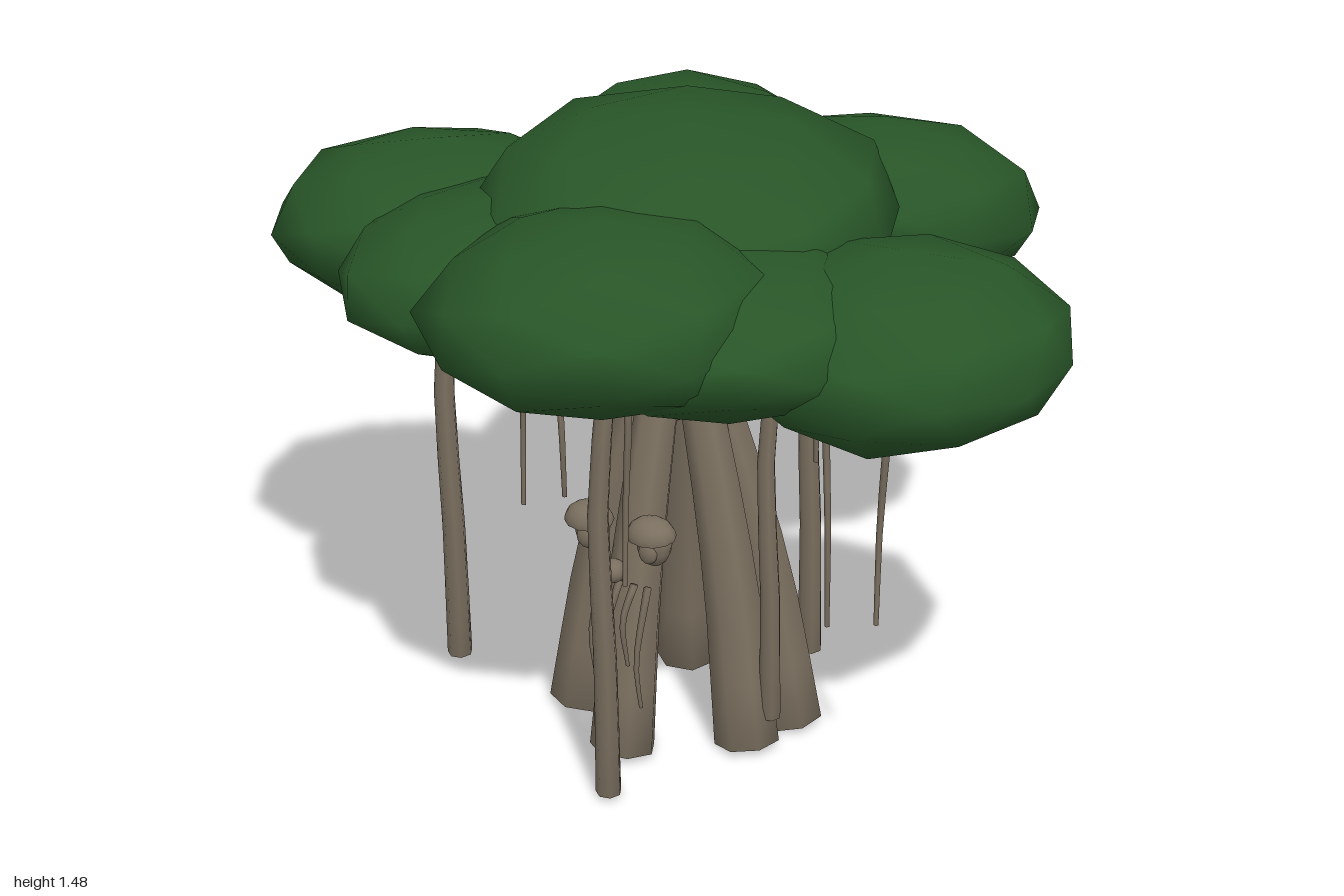
import * as THREE from 'three';
import { mergeVertices, mergeGeometries } from 'three/addons/utils/BufferGeometryUtils.js';

const bark = new THREE.MeshStandardMaterial({ color: 0x7a6f5f });
bark.name = 'bark brown';
const leaf = new THREE.MeshStandardMaterial({ color: 0x285528 });
leaf.name = 'leaf green';

function add(parent, name, geometry, material) {
  const mesh = new THREE.Mesh(geometry, material);
  mesh.name = name;
  parent.add(mesh);
  return mesh;
}

// Tapered, capped limb along a smooth path, radius r0 at the start and r1 at the end
function limb(points, r0, r1, sides = 7, steps = 6) {
  const curve = new THREE.CatmullRomCurve3(points.map((p) => new THREE.Vector3(...p)));
  const tube = new THREE.TubeGeometry(curve, steps, 1, sides, false);
  const pos = tube.attributes.position;
  const v = new THREE.Vector3();
  const caps = [];
  for (let i = 0; i <= steps; i++) {
    const c = curve.getPointAt(i / steps);
    const r = r0 + (r1 - r0) * (i / steps);
    for (let j = 0; j <= sides; j++) {
      const k = i * (sides + 1) + j;
      v.fromBufferAttribute(pos, k).sub(c).multiplyScalar(r).add(c);
      pos.setXYZ(k, v.x, v.y, v.z);
    }
    if (i > 0 && i < steps) continue;
    for (let j = 0; j < sides; j++) {
      const k = i * (sides + 1) + j;
      const [a, b] = i === 0 ? [k, k + 1] : [k + 1, k];
      caps.push(c.x, c.y, c.z);
      for (const n of [a, b]) caps.push(pos.getX(n), pos.getY(n), pos.getZ(n));
    }
  }
  const side = tube.toNonIndexed();
  side.deleteAttribute('uv');
  side.deleteAttribute('normal');
  const ends = new THREE.BufferGeometry();
  ends.setAttribute('position', new THREE.Float32BufferAttribute(caps, 3));
  const whole = mergeVertices(mergeGeometries([side, ends]), 1e-5);
  whole.computeVertexNormals();
  return whole;
}

// Lumpy, smooth-shaded, flattened leaf clump
function clump(seed, size) {
  let g = new THREE.IcosahedronGeometry(1, 1);
  g.deleteAttribute('uv');
  g.deleteAttribute('normal');
  g = mergeVertices(g, 1e-3);
  const pos = g.attributes.position;
  for (let i = 0; i < pos.count; i++) {
    const h = Math.sin(i * 12.9898 + seed * 78.233) * 43758.5453;
    const s = 0.96 + 0.1 * (h - Math.floor(h));
    pos.setXYZ(i, pos.getX(i) * s * size[0], pos.getY(i) * s * size[1], pos.getZ(i) * s * size[2]);
  }
  g.computeVertexNormals();
  return g;
}

export function createModel() {
  const tree = new THREE.Group();
  tree.name = 'tree';

  // Canopy: centre, half size and rotation of each clump
  const canopy = new THREE.Group();
  canopy.name = 'canopy';
  tree.add(canopy);
  [
    [[0.02, 1.285, 0.015], [0.48, 0.195, 0.5], [0.05, 0, -0.07]],
    [[0.1, 1.22, 0.5], [0.385, 0.2, 0.39], [0, 0, 0]],
    [[-0.61, 1.15, 0.075], [0.395, 0.19, 0.375], [0, 0.3, 0]],
    [[0.625, 1.125, 0.135], [0.385, 0.2, 0.385], [0, -0.35, 0]],
    [[-0.28, 1.175, 0.33], [0.36, 0.165, 0.36], [0, 0, 0]],
    [[0.31, 1.175, 0.34], [0.37, 0.165, 0.36], [0, 0, 0]],
    [[-0.26, 1.17, -0.48], [0.37, 0.19, 0.37], [0, 0, 0]],
    [[0.215, 1.15, -0.54], [0.385, 0.2, 0.365], [-0.1, 0, 0]],
  ].forEach(([center, size, turn], i) => {
    const mesh = add(canopy, 'leafClump', clump(i + 1, size), leaf);
    mesh.position.set(...center);
    mesh.rotation.set(...turn);
  });

  // Trunk: roots leaning in from their feet (x, z) towards the crown
  const trunk = new THREE.Group();
  trunk.name = 'trunk';
  tree.add(trunk);
  [
    [0.01, 0.285], [-0.2, 0.13], [-0.262, -0.035], [-0.09, -0.185],
    [0.15, -0.15], [0.28, -0.035], [0.245, 0.11],
  ].forEach(([x, z]) => {
    const at = (f, y) => [0.01 + (x - 0.01) * f, y, 0.035 + (z - 0.035) * f];
    add(trunk, 'trunkRoot',
      limb([at(1, 0.015), at(0.75, 0.42), at(0.34, 0.83), at(0.18, 0.95)], 0.078, 0.046), bark);
  });

  // Branches reaching up into the canopy
  [
    [0.57, 1.0, 0.18], [-0.5, 1.0, 0.07], [-0.13, 1.0, -0.46],
    [0.16, 1.07, -0.4], [0.1, 1.12, 0.36],
  ].forEach(([x, y, z]) => {
    add(tree, 'branch', limb([
      [0.01, 0.83, 0.03],
      [x * 0.45, 0.83 + (y - 0.83) * 0.62, z * 0.45],
      [x, y, z],
    ], 0.075, 0.025), bark);
  });

  // Prop roots: x, z and height of the foot, foot radius, top radius
  [
    [-0.575, 0.1, 0.015, 0.031, 0.022], [0.088, 0.475, 0.015, 0.03, 0.021],
    [0.16, -0.355, 0.015, 0.03, 0.021], [0.3, 0.1, 0.09, 0.026, 0.018],
    [-0.26, -0.175, 0.34, 0.011, 0.022],
  ].forEach(([x, z, y, r0, r1]) => {
    add(tree, 'propRoot', limb([
      [x, y, z], [x + 0.008, 0.4 + y * 0.6, z + 0.022],
      [x - 0.006, 0.72 + y * 0.2, z + 0.022], [x + 0.01, 1.08, z],
    ], r0, r1), bark);
  });

  // Thin hanging vines: x, z and height of the free end
  [
    [0.6, 0.16, 0.44], [0.44, 0.09, 0.36], [-0.41, 0.05, 0.44], [-0.26, -0.46, 0.33],
    [0.12, -0.49, 0.58], [0.24, -0.22, 0.6], [0.06, 0.35, 0.48], [-0.15, 0.27, 0.62],
  ].forEach(([x, z, y], i) => {
    const s = i % 2 ? 0.015 : -0.015;
    add(tree, 'vine', limb([
      [x, y, z], [x + s * 0.3, y + (1.08 - y) * 0.4, z + s],
      [x - s, y + (1.08 - y) * 0.7, z - s * 0.3], [x + s * 0.5, 1.08, z + s],
    ], 0.006, 0.011, 5), bark);
  });

  // Face: lidded eyes, nose and a beard of rootlets
  const face = new THREE.Group();
  face.name = 'face';
  tree.add(face);
  const ball = new THREE.SphereGeometry(1, 12, 8);
  const dome = mergeGeometries([
    new THREE.SphereGeometry(1, 12, 5, 0, Math.PI * 2, 0, Math.PI / 2),
    new THREE.CircleGeometry(1, 12).rotateX(Math.PI / 2),
  ]);
  for (const x of [-0.075, 0.09]) {
    const eye = add(face, 'eye', ball, bark);
    eye.position.set(x, 0.565, 0.272);
    eye.scale.set(0.043, 0.058, 0.036);
    const pupil = add(face, 'pupil', ball, bark);
    pupil.position.set(x, 0.55, 0.3);
    pupil.scale.set(0.024, 0.028, 0.014);
    const lid = add(face, 'eyelid', dome, bark);
    lid.position.set(x, 0.587, 0.285);
    lid.scale.set(0.06, 0.045, 0.05);
    lid.rotation.x = 0.15;
  }
  const nose = add(face, 'nose', ball, bark);
  nose.position.set(0.01, 0.495, 0.325);
  nose.scale.set(0.033, 0.028, 0.033);
  [[-0.035, 0.21], [0.01, 0.24], [0.05, 0.26], [0.085, 0.16]].forEach(([x, y]) => {
    add(face, 'beardRootlet', limb([
      [x, y, 0.325], [x - 0.006, y + 0.12, 0.335], [x + 0.004, 0.46, 0.3],
    ], 0.005, 0.01, 5), bark);
  });

  return tree;
}
